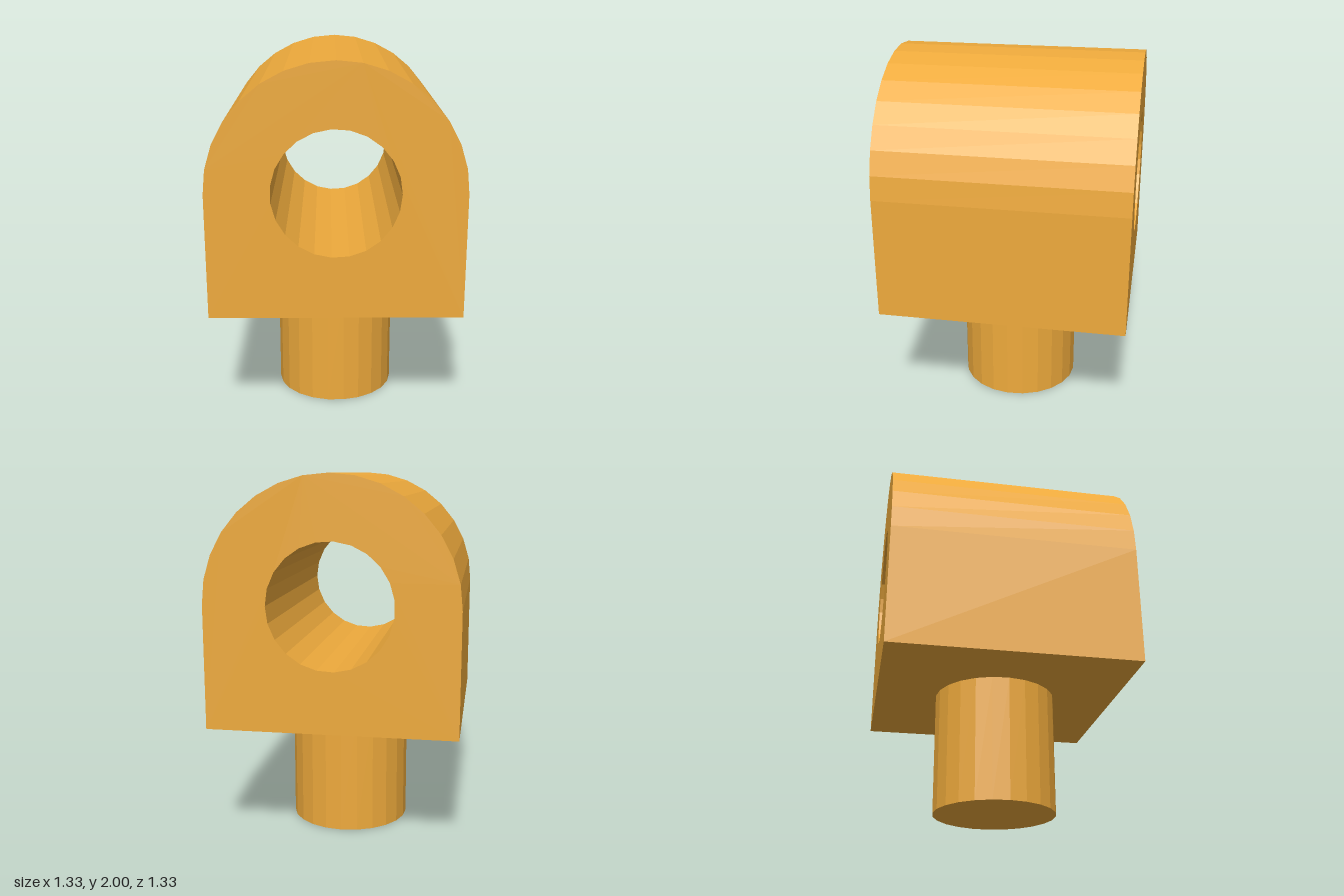
import * as THREE from 'three';

const R = 2 / 3; // half width of the block and radius of its rounded top
const r = 1 / 3; // radius of the bore and of the stud
const SIDES = 23;

export function createModel() {
  const group = new THREE.Group();
  const material = new THREE.MeshStandardMaterial({ color: 0xeeaa3c, flatShading: true });

  // Arched block outline: square bottom, half-round top
  const outline = [new THREE.Vector2(-R, R), new THREE.Vector2(R, R)];
  for (let i = 0; i <= 16; i++) {
    const a = (i / 16) * Math.PI;
    outline.push(new THREE.Vector2(R * Math.cos(a), 2 * R + R * Math.sin(a)));
  }
  const shape = new THREE.Shape(outline);

  // Bore through the block, front to back
  const bore = [];
  for (let i = 0; i < SIDES; i++) {
    const a = (-i / SIDES) * Math.PI * 2;
    bore.push(new THREE.Vector2(r * Math.cos(a), 2 * R + r * Math.sin(a)));
  }
  shape.holes.push(new THREE.Path(bore));

  const blockGeometry = new THREE.ExtrudeGeometry(shape, { depth: 2 * R, bevelEnabled: false });
  blockGeometry.translate(0, 0, -R);
  const block = new THREE.Mesh(blockGeometry, material);
  block.name = 'archedBlock';
  group.add(block);

  // Round stud under the block, one corner facing the back
  const stud = new THREE.Mesh(new THREE.CylinderGeometry(r, r, R, SIDES, 1, false, Math.PI), material);
  stud.position.y = R / 2;
  stud.name = 'stud';
  group.add(stud);

  return group;
}
